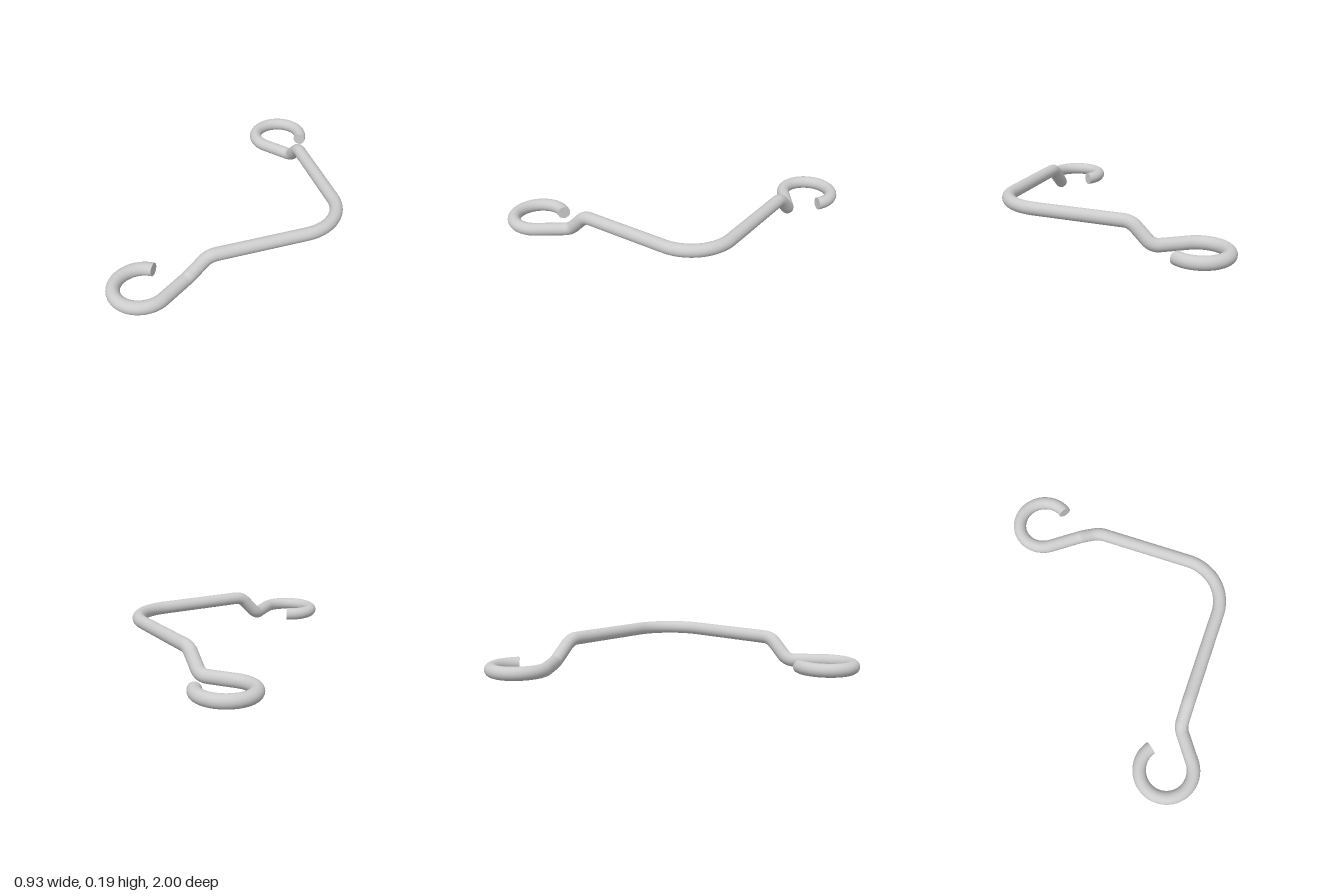
import * as THREE from 'three';

const WIRE = 0.0365;          // wire radius
const LOW = 0.037, HIGH = 0.152; // heights of the eyes and of the arms
const RAD = Math.PI / 180;

// Level arc; angle 0 points to +x, 90 degrees to +z
class FlatArc extends THREE.Curve {
  constructor(cx, cz, y, r, from, to) {
    super();
    Object.assign(this, { cx, cz, y, r, from, to });
  }
  getPoint(t, target = new THREE.Vector3()) {
    const a = (this.from + (this.to - this.from) * t) * RAD;
    return target.set(this.cx + this.r * Math.cos(a), this.y, this.cz + this.r * Math.sin(a));
  }
}

export function createModel() {
  const group = new THREE.Group();
  group.name = 'bentWireHook';
  const material = new THREE.MeshStandardMaterial({ color: 0xcccccc });

  // Open eyes at both ends and the wide bend in the middle
  const backEye = new FlatArc(-0.284, -0.817, LOW, 0.146, -8, -262);
  const frontEye = new FlatArc(-0.284, 0.817, LOW, 0.146, 8, 262);
  const bendRadius = 0.2535;
  const bend = new FlatArc(0.43 - bendRadius, 0, HIGH, bendRadius, -45, 45);

  const path = new THREE.CurvePath();
  // Straight runs through the given points with rounded corners
  const addRun = (points, trim) => {
    let last = points[0];
    for (let i = 1; i < points.length - 1; i++) {
      const p = points[i];
      const toward = (q) => p.clone().add(q.clone().sub(p).setLength(trim));
      const a = toward(points[i - 1]), b = toward(points[i + 1]);
      path.add(new THREE.LineCurve3(last, a));
      path.add(new THREE.QuadraticBezierCurve3(a, p, b));
      last = b;
    }
    path.add(new THREE.LineCurve3(last, points[points.length - 1]));
  };
  const lowCorner = (s) => new THREE.Vector3(-0.11, LOW, 0.645 * s);
  const highCorner = (s) => new THREE.Vector3(-0.028, HIGH, 0.563 * s);

  path.add(backEye);
  addRun([backEye.getPoint(1), lowCorner(-1), highCorner(-1), bend.getPoint(0)], 0.04);
  path.add(bend);
  addRun([bend.getPoint(1), highCorner(1), lowCorner(1), frontEye.getPoint(0)], 0.04);
  path.add(frontEye);

  // Wire
  path.arcLengthDivisions = 1000;
  const wire = new THREE.Mesh(new THREE.TubeGeometry(path, 360, WIRE, 24, false), material);
  wire.name = 'wire';
  group.add(wire);

  // Flat cut ends
  for (const [name, t, sign] of [['backWireEnd', 0, -1], ['frontWireEnd', 1, 1]]) {
    const cap = new THREE.Mesh(new THREE.CircleGeometry(WIRE, 24), material);
    cap.name = name;
    cap.position.copy(path.getPointAt(t));
    cap.lookAt(cap.position.clone().addScaledVector(path.getTangentAt(t), sign));
    group.add(cap);
  }
  return group;
}
